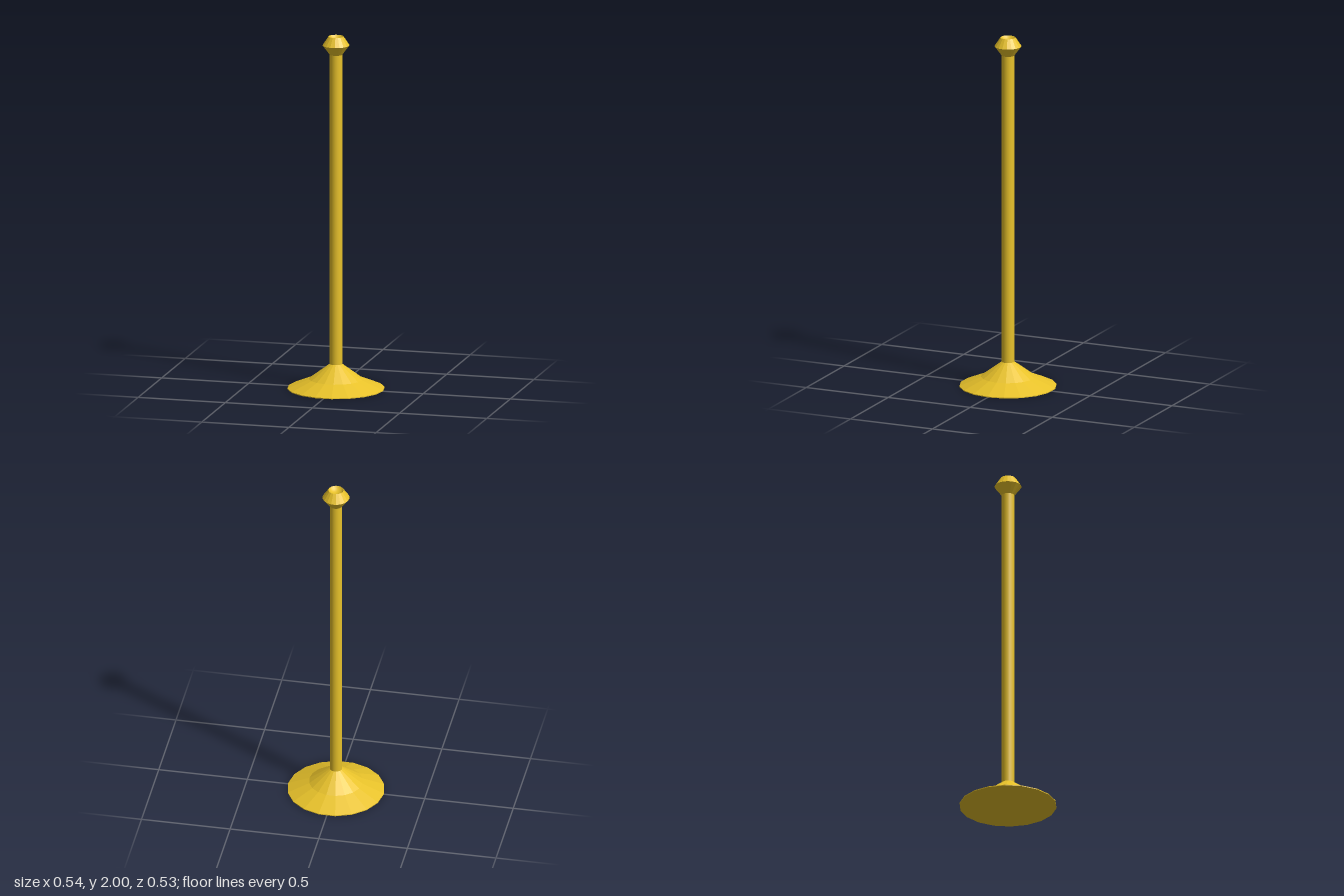
import * as THREE from 'three';

const SIDES = 18;

export function createModel() {
  const group = new THREE.Group();
  const faceted = new THREE.MeshStandardMaterial({ color: 0xe8c22a, flatShading: true });
  const smooth = new THREE.MeshStandardMaterial({ color: 0xe8c22a });

  // Revolves a [radius, height] profile, listed bottom to top, with a corner on the x axis
  function turned(name, profile, material) {
    const points = profile.map(([r, y]) => new THREE.Vector2(r, y));
    const mesh = new THREE.Mesh(new THREE.LatheGeometry(points, SIDES, Math.PI / 2), material);
    mesh.name = name;
    group.add(mesh);
  }

  // Flared foot with a closed underside
  turned('base', [[0, 0], [0.27, 0], [0.27, 0.005], [0.15, 0.055], [0.035, 0.14]], faceted);

  // Slender upright
  turned('pole', [[0.035, 0.135], [0.035, 1.905]], smooth);

  // Double-cone knob
  turned('knob', [[0.035, 1.897], [0.075, 1.95], [0.042, 2]], faceted);

  // Shallow rounded hollow in the top of the knob
  const hollow = [];
  const radius = 0.042, halfAngle = Math.PI / 3, R = radius / Math.sin(halfAngle);
  for (let i = 0; i <= 6; i++) {
    const a = halfAngle * (1 - i / 6);
    hollow.push([R * Math.sin(a), 2 + R * (Math.cos(halfAngle) - Math.cos(a))]);
  }
  turned('knobHollow', hollow, smooth);

  return group;
}
